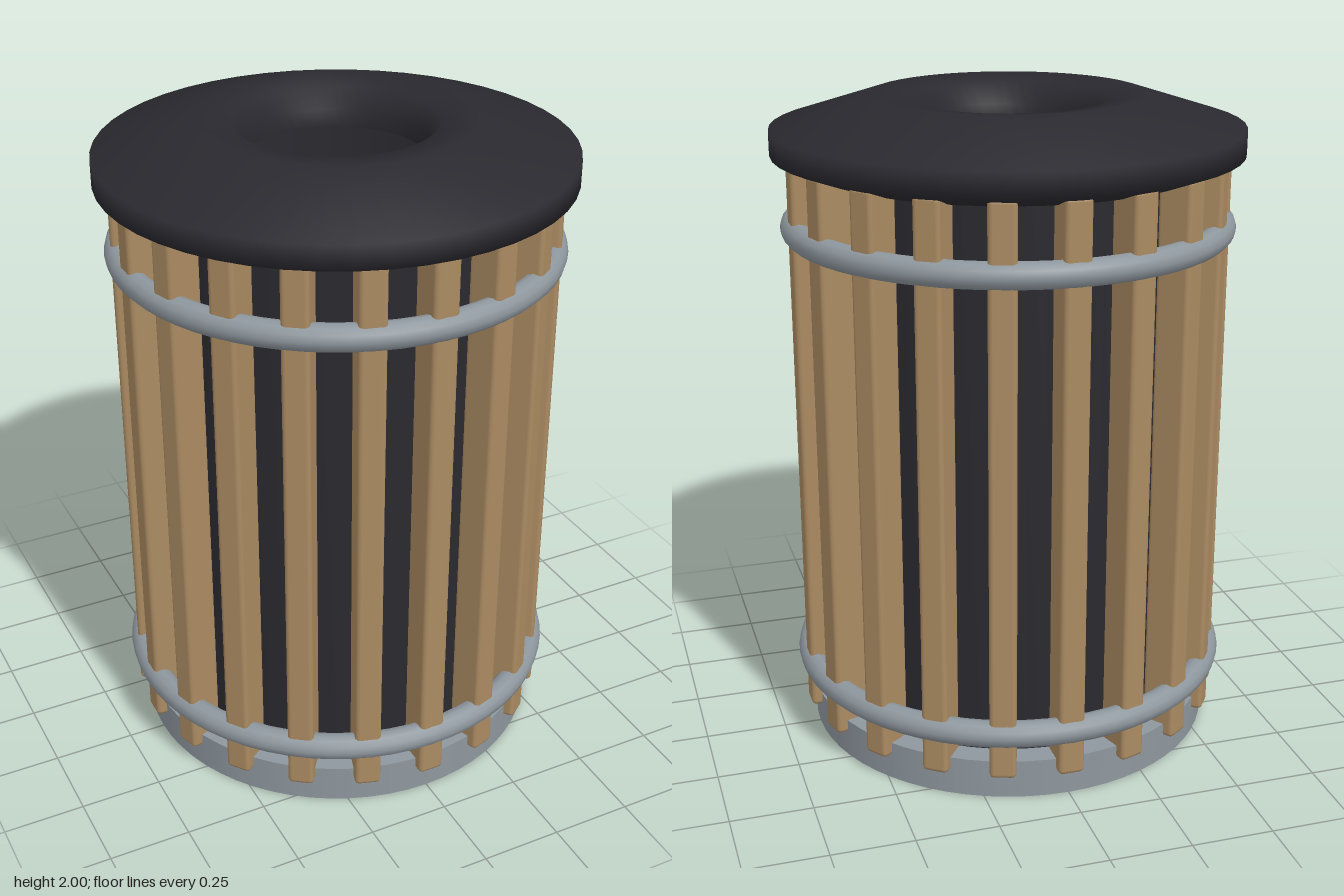
import * as THREE from 'three';
import { RoundedBoxGeometry } from 'three/addons/geometries/RoundedBoxGeometry.js';

const wood = new THREE.MeshStandardMaterial({ color: 0xab8b62 });
wood.name = 'wood';
const dark = new THREE.MeshStandardMaterial({ color: 0x29292f });
dark.name = 'dark metal';
const steel = new THREE.MeshStandardMaterial({ color: 0x8e979e });
steel.name = 'grey steel';

// Revolves a closed [radius, height] profile with smooth normals
const revolve = (points, segments) =>
  new THREE.LatheGeometry(points.map(([r, y]) => new THREE.Vector2(r, y)), segments);

export function createModel() {
  const bin = new THREE.Group();
  bin.name = 'slattedBin';

  const add = (name, geometry, material, y = 0, parent = bin) => {
    const mesh = new THREE.Mesh(geometry, material);
    mesh.name = name;
    mesh.position.y = y;
    parent.add(mesh);
    return mesh;
  };

  // Base disc, which also forms the floor inside
  add('base', new THREE.CylinderGeometry(0.635, 0.635, 0.12, 64), steel, 0.06);

  // Open liner with a thin wall
  add('liner', revolve([
    [0.535, 0.115], [0.562, 0.115], [0.562, 1.81], [0.535, 1.81], [0.535, 0.115],
  ], 64), dark);

  // Ring of upright slats
  const slats = new THREE.Group();
  slats.name = 'slats';
  bin.add(slats);
  const depth = 0.11;
  const slatGeometry = new RoundedBoxGeometry(0.08, 1.745, depth, 2, 0.014);
  const radius = 0.665 - depth / 2;
  const count = 20;
  for (let i = 0; i < count; i++) {
    const a = (i / count) * Math.PI * 2;
    const slat = add('slat', slatGeometry, wood, 0.9505, slats);
    slat.position.x = Math.sin(a) * radius;
    slat.position.z = Math.cos(a) * radius;
    slat.rotation.y = a;
  }

  // Two hoops around the slats
  const hoopGeometry = new THREE.TorusGeometry(0.645, 0.04, 12, 64).rotateX(Math.PI / 2);
  add('lowerHoop', hoopGeometry, steel, 0.22);
  add('upperHoop', hoopGeometry, steel, 1.612);

  // Lid with a round opening: underside, rim, sloping top, lip and throat
  add('lid', revolve([
    [0.268, 1.868], [0.56, 1.786], [0.6, 1.79], [0.707, 1.83], [0.707, 1.905],
    [0.41, 2.0], [0.3, 1.985], [0.268, 1.92], [0.268, 1.868],
  ], 48), dark);

  return bin;
}
